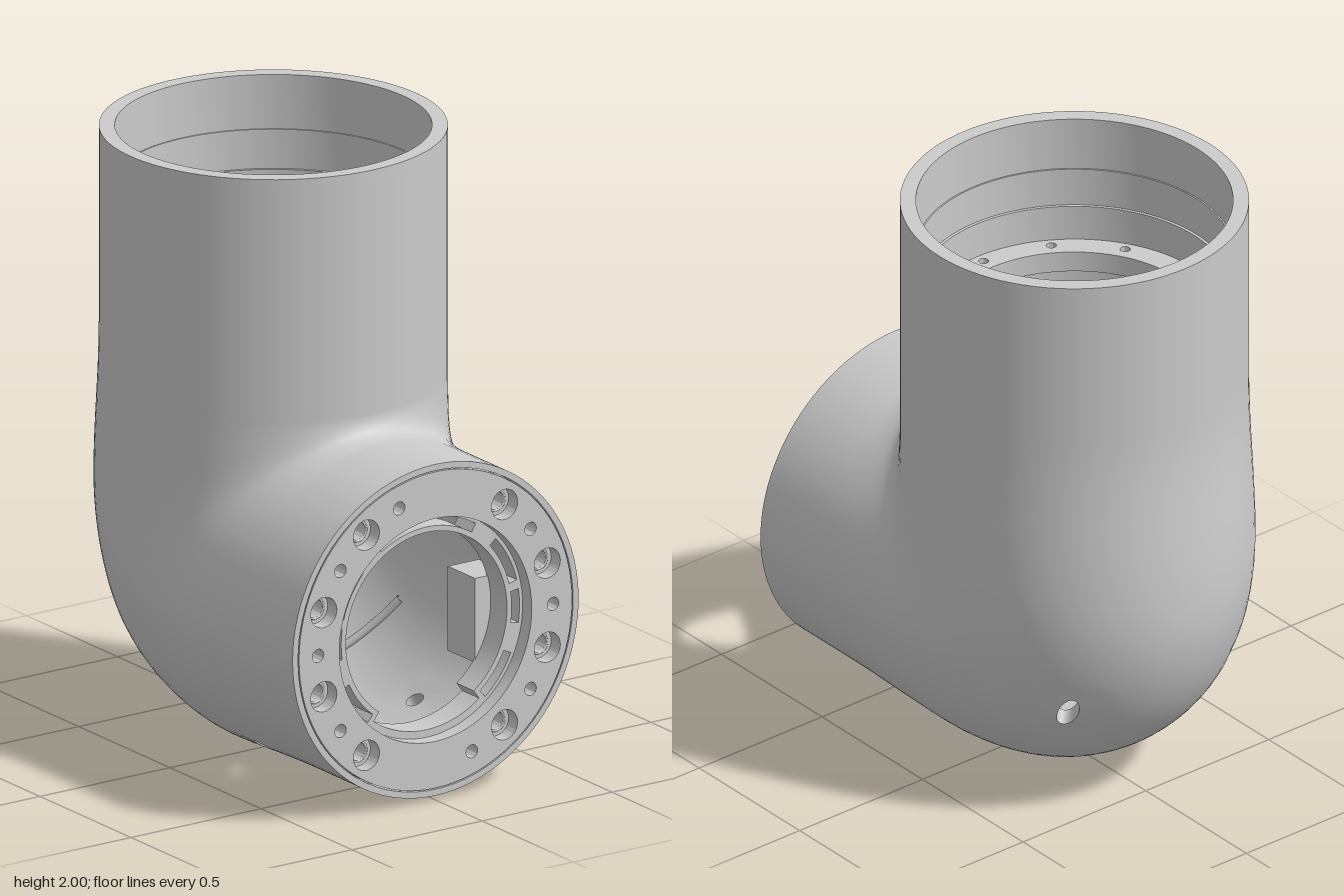
import * as THREE from 'three';
import { mergeVertices, toCreasedNormals } from 'three/addons/utils/BufferGeometryUtils.js';

const mat = new THREE.MeshStandardMaterial({ color: 0xcccccc, side: THREE.DoubleSide });
const R = 0.55, AXIS_Y = 0.565, AXIS_Z = -0.145;   // both pipes share one radius
const PZ = 0.48, PY = 1.19, FILLET = 0.075;        // pivot of the bend
const REACH = 0.625, BEND = 0.745, WALL = 0.05;
const NV = 96, FAN = 48, TAU = Math.PI * 2;
const smooth = THREE.MathUtils.smoothstep, lerp = THREE.MathUtils.lerp;
const backZ = y => -BEND + 0.05 * smooth(y, 0.745, 1.4);
const bottomY = z => 0.015 * smooth(z, 0, PZ);

// Distance from the pivot to the outer profile at sweep angle t
function outerReach(t) {
  const s = Math.sin(t), c = Math.cos(t);
  if (t < Math.atan2(PZ, PY)) {
    let d = PY / c;
    for (let i = 0; i < 5; i++) d = (PY - bottomY(PZ - d * s)) / c;
    return d;
  }
  if (t > Math.atan2(PZ + BEND, PY - BEND)) {
    let d = (PZ + BEND) / s;
    for (let i = 0; i < 5; i++) d = (PZ - backZ(PY - d * c)) / s;
    return d;
  }
  const dy = PY - BEND, b = PZ * s + dy * c;
  return b + Math.sqrt(b * b - PZ * PZ - dy * dy + BEND * BEND);
}

// Cross-section at u: 0-1 front pipe, 1-2 bend, 2-3 upright pipe
function section(u, zFront, yTop) {
  if (u <= 1) return { z: lerp(zFront, PZ, u), y: AXIS_Y, dz: 0, dy: -1, inn: R, out: R };
  if (u >= 2) {
    const y = lerp(PY, yTop, u - 2);
    return { z: AXIS_Z, y, dz: -1, dy: 0, inn: R, out: AXIS_Z - backZ(y) };
  }
  const t = (u - 1) * Math.PI / 2, c = Math.cos(t), s = Math.sin(t);
  const a = REACH / Math.pow(c ** 6 + s ** 6, 1 / 6);
  return { z: PZ - s * a, y: PY - c * a, dz: -s, dy: -c, inn: a - FILLET, out: outerReach(t) - a };
}

function surface(u, v, inset, zFront = 0.745, yTop = 2) {
  const q = section(u, zFront, yTop), c = Math.cos(v);
  const r = ((c > 0 ? q.out : q.inn) - inset) * c;
  return new THREE.Vector3((R - inset) * Math.sin(v), q.y + q.dy * r, q.z + q.dz * r);
}

// Locate a (z, y) position on the bend as grid indices
function locate(z, y) {
  const t = Math.atan2(PZ - z, PY - y), u = 1 + t / (Math.PI / 2);
  const q = section(u, 0.745, 2);
  const v = Math.acos(((z - q.z) * q.dz + (y - q.y) * q.dy) / q.out);
  return { i: Math.round((u - 1) * FAN), j: Math.round(v / TAU * NV) };
}
const K = 3; // half size of the grid block around a hole
const drains = [[-0.52, 0.4, 0.033, 0.055], [0.23, 0.1, 0.018, 0.055]].flatMap(([z, y, a, b]) => {
  const { i, j } = locate(z, y);
  return [{ i, j, a, b }, { i, j: -j, a, b }];
});
const uAt = i => i < 0 ? 1 + i / 8 : i > FAN ? 2 + (i - FAN) / 16 : 1 + i / FAN;
const vAt = j => j / NV * TAU;

function blockEdge() {
  const e = [];
  for (let k = -K; k < K; k++) e.push([k, -K]);
  for (let k = -K; k < K; k++) e.push([K, k]);
  for (let k = K; k > -K; k--) e.push([k, K]);
  for (let k = K; k > -K; k--) e.push([-K, k]);
  return e;
}
const holeUV = (h, [di, dj]) => {
  const w = Math.atan2(dj, di);
  return [uAt(h.i) + h.a * Math.cos(w), vAt(h.j) + h.b * Math.sin(w)];
};

function fromQuads(quads) {
  const pos = [];
  for (const [a, b, c, d] of quads) for (const p of [a, b, c, a, c, d]) pos.push(p.x, p.y, p.z);
  const g = new THREE.BufferGeometry();
  g.setAttribute('position', new THREE.Float32BufferAttribute(pos, 3));
  const m = mergeVertices(g, 1e-5);
  m.computeVertexNormals();
  return m;
}

// Bent pipe skin with the drain holes left open
function skin(inset, zFront, yTop, inward) {
  const S = (u, v) => surface(u, v, inset, zFront, yTop), quads = [];
  const add = (a, b, c, d) => quads.push(inward ? [d, c, b, a] : [a, b, c, d]);
  for (let i = -8; i < FAN + 16; i++) for (let j = -NV / 2; j < NV / 2; j++) {
    if (drains.some(h => i >= h.i - K && i < h.i + K && j >= h.j - K && j < h.j + K)) continue;
    add(S(uAt(i), vAt(j)), S(uAt(i + 1), vAt(j)), S(uAt(i + 1), vAt(j + 1)), S(uAt(i), vAt(j + 1)));
  }
  const e = blockEdge();
  for (const h of drains) e.forEach((p, k) => {
    const n = e[(k + 1) % e.length];
    add(S(uAt(h.i + p[0]), vAt(h.j + p[1])), S(uAt(h.i + n[0]), vAt(h.j + n[1])),
      S(...holeUV(h, n)), S(...holeUV(h, p)));
  });
  return fromQuads(quads);
}

function drainWall(h) {
  const e = blockEdge();
  return fromQuads(e.map((p, k) => {
    const a = holeUV(h, p), b = holeUV(h, e[(k + 1) % e.length]);
    return [surface(...a, 0), surface(...b, 0), surface(...b, WALL), surface(...a, WALL)];
  }));
}

const circle = (x, y, r) => new THREE.Path().absarc(x, y, r, 0, TAU, false);
const polar = (deg, r) => [r * Math.cos(deg * Math.PI / 180), r * Math.sin(deg * Math.PI / 180)];

function plate(outer, holes, depth) {
  const s = new THREE.Shape().absarc(0, 0, outer, 0, TAU, false);
  s.holes.push(...holes);
  return toCreasedNormals(new THREE.ExtrudeGeometry(s, { depth, bevelEnabled: false, curveSegments: 48 }), 0.5);
}

function arcSlot(mid, half, r0, r1) {
  const a = (mid - half) * Math.PI / 180, b = (mid + half) * Math.PI / 180;
  return new THREE.Path().absarc(0, 0, r1, a, b, false).absarc(0, 0, r0, b, a, true).closePath();
}

function lathe(points) {
  return toCreasedNormals(new THREE.LatheGeometry(points.map(p => new THREE.Vector2(...p)), 96), 0.5);
}

function ribAlong(points, radius) {
  return new THREE.TubeGeometry(new THREE.CatmullRomCurve3(points), 48, radius, 8);
}

export function createModel() {
  const model = new THREE.Group();
  const add = (name, geometry, x = 0, y = 0, z = 0) => {
    const m = new THREE.Mesh(geometry, mat);
    m.name = name;
    m.position.set(x, y, z);
    model.add(m);
    return m;
  };

  // Elbow shell
  add('outerShell', skin(0, 0.745, 2, false));
  add('innerShell', skin(WALL, 0.6, 1.5, true));
  drains.forEach(h => add('drainHoleWall', drainWall(h)));

  // Top socket: stepped bore and a drilled ledge
  add('topSocket', lathe([[0.55, 2], [0.5, 2], [0.5, 1.82], [0.495, 1.82], [0.495, 1.69], [0.485, 1.69], [0.485, 1.57]]), 0, 0, AXIS_Z);
  const topHoles = [circle(0, 0, 0.405)];
  for (let k = 0; k < 12; k++) topHoles.push(circle(...polar(k * 30, 0.452), 0.016));
  add('topLedge', plate(0.505, topHoles, 0.07), 0, 1.5, AXIS_Z).rotation.x = -Math.PI / 2;

  // Front flange: rim, counterbored face and slotted back plate
  add('frontRim', lathe([[0.55, 0.745], [0.529, 0.745], [0.529, 0.69]]), 0, AXIS_Y, 0).rotation.x = Math.PI / 2;
  const bolts = [18, 54, 126, 162, 198, 234, 306, 342];
  const pins = [0, 36, 108, 144, 180, 216, 288, 324];
  const drill = r => [...bolts.map(a => circle(...polar(a, 0.452), r)), ...pins.map(a => circle(...polar(a, 0.452), 0.022))];
  add('frontFace', plate(0.525, [circle(0, 0, 0.37), ...drill(0.05)], 0.05), 0, AXIS_Y, 0.695);
  const bore = new THREE.Path()
    .absarc(0, 0, 0.345, Math.PI * 1.3, Math.PI * 1.7, false)
    .absarc(0, 0, 0.31, Math.PI * 1.7, Math.PI * 3.3, false).closePath();
  const slots = [[90, 32], [152, 14], [28, 14], [180, 9], [0, 9], [218, 13], [322, 13]]
    .map(([mid, half]) => arcSlot(mid, half, 0.328, 0.358));
  add('frontBackPlate', plate(0.53, [bore, ...slots, ...drill(0.03)], 0.095), 0, AXIS_Y, 0.6);
  bolts.forEach(a => {
    const [x, y] = polar(a, 0.452);
    add('boltSleeve', new THREE.TorusGeometry(0.033, 0.004, 8, 32), x, AXIS_Y + y, 0.696);
  });

  // Inner guide blocks behind the flange
  for (const s of [-1, 1]) add('guideBlock', new THREE.BoxGeometry(0.12, 0.28, 0.15), s * 0.31, 0.51, 0.53);

  // Stiffening ribs on the inside of the bend
  const steps = [...Array(25).keys()].map(k => k / 24);
  for (const s of [-1, 1])
    add('longRib', ribAlong(steps.map(k => surface(lerp(1.1, 1.85, k), s * 0.25, 0.053, 0.6, 1.5)), 0.012));
  for (const deg of [34, 45, 74])
    add('hoopRib', ribAlong(steps.map(k => surface(1 + deg / 90, lerp(-1.1, 1.1, k), 0.053, 0.6, 1.5)), 0.014));

  return model;
}
